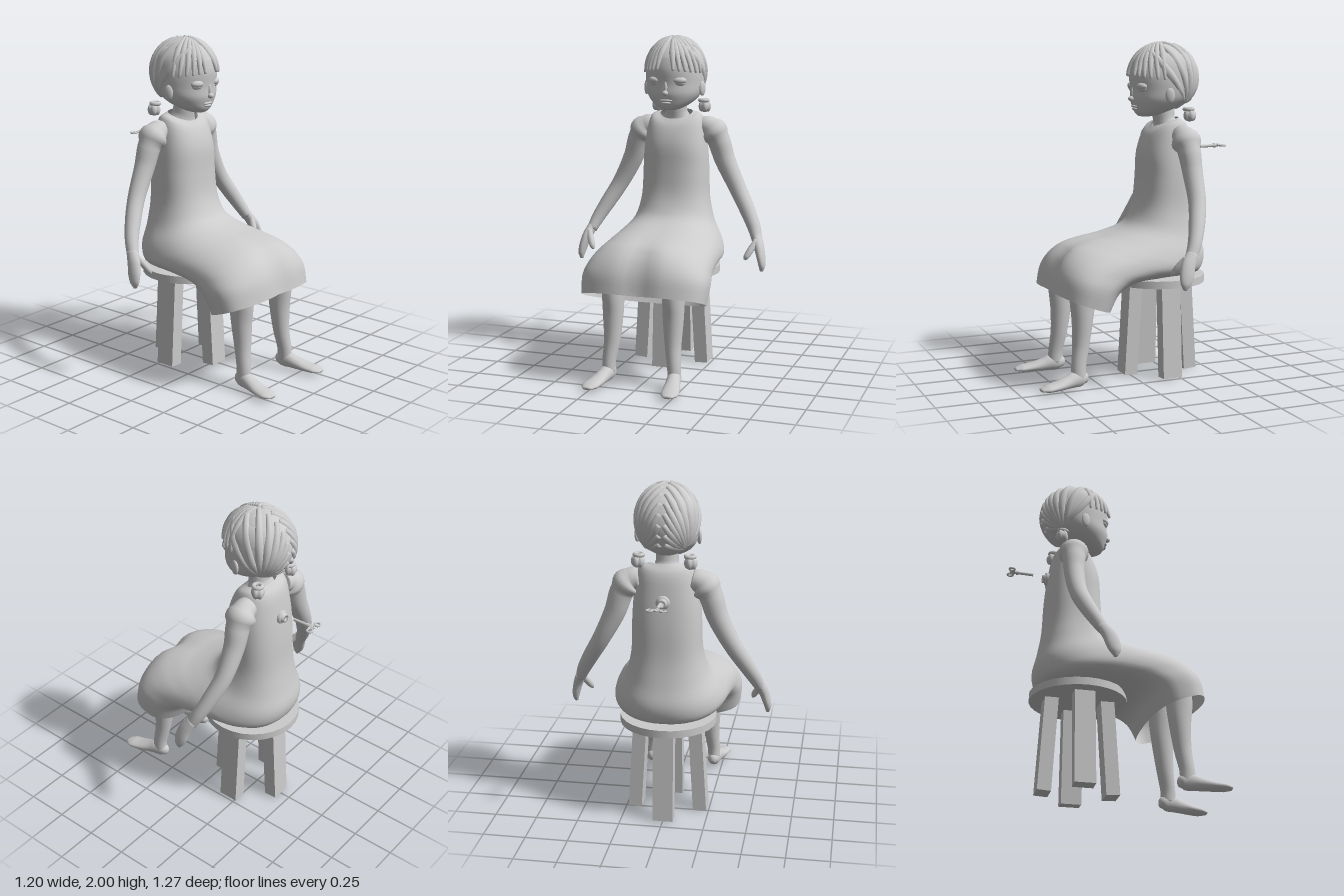
import * as THREE from 'three';

const mat = new THREE.MeshStandardMaterial({ color: 0xcccccc });
const matTwo = new THREE.MeshStandardMaterial({ color: 0xcccccc, side: THREE.DoubleSide });
const V = (x, y, z) => new THREE.Vector3(x, y, z);

function add(parent, name, geo, x = 0, y = 0, z = 0, m = mat) {
  const mesh = new THREE.Mesh(geo, m);
  mesh.name = name;
  mesh.position.set(x, y, z);
  parent.add(mesh);
  return mesh;
}

// Skin over closed rings of equal length
function loft(rings) {
  const n = rings[0].length, idx = [];
  for (let i = 0; i < rings.length - 1; i++) {
    for (let j = 0; j < n; j++) {
      const a = i * n + j, b = i * n + (j + 1) % n;
      idx.push(a, b, a + n, b, b + n, a + n);
    }
  }
  const g = new THREE.BufferGeometry().setFromPoints(rings.flat());
  g.setIndex(idx);
  g.computeVertexNormals();
  return g;
}

// Smooth limb through [x, y, z, radius along ref, radius across]
function limb(pts, ref = V(0, 0, 1), steps = 5, sides = 20) {
  const path = new THREE.CatmullRomCurve3(pts.map(p => V(p[0], p[1], p[2])));
  const size = new THREE.CatmullRomCurve3(pts.map(p => V(p[3], p[4] ?? p[3], 0)));
  const count = (pts.length - 1) * steps, rings = [];
  for (let i = 0; i <= count; i++) {
    const t = i / count, c = path.getPoint(t), r = size.getPoint(t), T = path.getTangent(t);
    const B = T.clone().cross(ref).normalize(), N = B.clone().cross(T);
    const ring = k => Array.from({ length: sides }, (_, j) => {
      const a = j / sides * Math.PI * 2;
      return c.clone().addScaledVector(N, Math.max(r.x, 0) * k * Math.cos(a))
        .addScaledVector(B, Math.max(r.y, 0) * k * Math.sin(a));
    });
    if (i === 0) rings.push(ring(0));
    rings.push(ring(1));
    if (i === count) rings.push(ring(0));
  }
  return loft(rings);
}

function ball(parent, name, x, y, z, rx, ry, rz) {
  const mesh = add(parent, name, new THREE.SphereGeometry(1, 20, 14), x, y, z);
  mesh.scale.set(rx, ry, rz);
  return mesh;
}

function makeStool() {
  const g = new THREE.Group();
  g.name = 'stool';
  g.position.z = -0.2;
  add(g, 'stoolSeat', new THREE.CylinderGeometry(0.285, 0.285, 0.045, 28), 0, 0.582, 0);
  for (let i = 0; i < 4; i++) {
    const pivot = new THREE.Group();
    pivot.name = 'stoolLegMount';
    pivot.rotation.y = i * Math.PI / 2;
    add(pivot, 'stoolLeg', new THREE.BoxGeometry(0.12, 0.565, 0.08), 0, 0.284, 0.18).rotation.x = -0.06;
    g.add(pivot);
  }
  return g;
}

// Dress rows: front z, front y, back z, back y, half width, side lift, centre dip, squareness
function makeDress() {
  const rows = [
    [-0.165, 1.50, -0.325, 1.55, 0.10, 0.01, 0, 2],
    [-0.125, 1.45, -0.365, 1.50, 0.158, 0.04, 0, 2.2],
    [-0.09, 1.35, -0.39, 1.38, 0.188, 0, 0, 2.4],
    [-0.08, 1.20, -0.41, 1.20, 0.20, 0, 0, 2.4],
    [-0.06, 1.04, -0.42, 1.00, 0.207, 0, 0, 2.4],
    [0.00, 0.925, -0.445, 0.85, 0.24, 0, 0, 2.3],
    [0.15, 0.868, -0.47, 0.72, 0.30, 0, 0.01, 2.3],
    [0.28, 0.845, -0.43, 0.625, 0.335, 0, 0.02, 2.3],
    [0.39, 0.81, -0.20, 0.60, 0.352, 0, 0.03, 2.3],
    [0.455, 0.75, 0.00, 0.59, 0.366, 0, 0.035, 2.4],
    [0.495, 0.67, 0.12, 0.545, 0.382, 0, 0.035, 2.5],
    [0.515, 0.56, 0.185, 0.44, 0.372, 0, 0.03, 2.6]];
  const curve = k => new THREE.CatmullRomCurve3(rows.map(k));
  const front = curve(r => V(r[4], r[1], r[0])), back = curve(r => V(0, r[3], r[2]));
  const shape = curve(r => V(r[5], r[6], r[7]));
  const rings = [], steps = 44, sides = 56;
  const power = (v, e) => Math.sign(v) * Math.abs(v) ** e;
  for (let i = 0; i <= steps; i++) {
    const f = front.getPoint(i / steps), b = back.getPoint(i / steps), s = shape.getPoint(i / steps);
    const w = f.x;
    f.x = 0;
    const mid = f.clone().add(b).multiplyScalar(0.5), u = f.clone().sub(mid), dir = u.clone().normalize();
    rings.push(Array.from({ length: sides }, (_, j) => {
      const a = j / sides * Math.PI * 2, c = power(Math.cos(a), 2 / s.z);
      const p = mid.clone().addScaledVector(u, c);
      p.x = -w * power(Math.sin(a), 2 / s.z);
      if (c > 0) p.addScaledVector(dir, -s.y * Math.exp(-((p.x / 0.08) ** 2)));
      p.y += s.x * Math.sin(a) ** 2;
      return p;
    }));
  }
  return loft(rings);
}

// Head rows: y, half width, front z, back z
function makeHead() {
  const rows = [
    [1.556, 0.0, -0.11, -0.11], [1.56, 0.045, -0.08, -0.17], [1.58, 0.09, -0.058, -0.24],
    [1.615, 0.135, -0.045, -0.32], [1.66, 0.165, -0.034, -0.38], [1.72, 0.177, -0.035, -0.42],
    [1.80, 0.178, -0.028, -0.435], [1.88, 0.162, -0.045, -0.42], [1.94, 0.115, -0.10, -0.37],
    [1.97, 0.0, -0.23, -0.23]];
  const a = new THREE.CatmullRomCurve3(rows.map(r => V(r[1], r[0], 0)));
  const b = new THREE.CatmullRomCurve3(rows.map(r => V(r[2], r[3], 0)));
  const rings = [];
  for (let i = 0; i <= 36; i++) {
    const p = a.getPoint(i / 36), q = b.getPoint(i / 36);
    rings.push(Array.from({ length: 36 }, (_, j) => {
      const t = j / 36 * Math.PI * 2;
      return V(p.x * Math.sin(t), p.y, (q.x + q.y) / 2 + (q.x - q.y) / 2 * Math.cos(t));
    }));
  }
  return loft(rings);
}

// Hair: tilted dome with locks lying over it from the parting
const HC = V(0, 1.785, -0.232), HR = V(0.19, 0.216, 0.224);
function lock(d0, d1, r0, r1, r2) {
  const pts = [], angle = d0.angleTo(d1);
  for (let i = 0; i <= 6; i++) {
    const t = i / 6;
    const d = d0.clone().multiplyScalar(Math.sin((1 - t) * angle)).addScaledVector(d1, Math.sin(t * angle)).normalize();
    const r = t < 0.5 ? r0 + (r1 - r0) * t * 2 : r1 + (r2 - r1) * (t * 2 - 1);
    pts.push([HC.x + d.x * (HR.x - r), HC.y + d.y * (HR.y - r), HC.z + d.z * (HR.z - r), r]);
  }
  return limb(pts, V(0.31, 0.23, 0.92), 3, 10);
}
function makeHair() {
  const g = new THREE.Group();
  g.name = 'hair';
  const dome = new THREE.SphereGeometry(1, 40, 24, 0, Math.PI * 2, 0, 1.98);
  dome.rotateX(-0.85);
  dome.scale(HR.x - 0.012, HR.y - 0.012, HR.z - 0.012);
  add(g, 'hairCap', dome, HC.x, HC.y, HC.z, matTwo);
  for (const s of [1, -1]) {
    const tie = V(0.72 * s, -0.80, -0.5).normalize();
    for (let i = 0; i < 10; i++) {
      const a = -0.6 + i * 0.3;
      add(g, 'sideLock', lock(V(0.07 * s, Math.cos(a), -Math.sin(a)).normalize(), tie, 0.014, 0.03, 0.018));
    }
    for (let i = 0; i < 6; i++) {
      const b = 0.28 + i * 0.2;
      add(g, 'fringeLock', lock(V(0.06 * s, 0.9, 0.4 - i * 0.06).normalize(),
        V(s * Math.sin(b), 0.06 - i * 0.02, Math.cos(b)).normalize(), 0.012, 0.022, 0.008));
    }
    // Small bunched pigtail and its band
    const band = add(g, 'hairBand', new THREE.TorusGeometry(0.024, 0.012, 10, 20), 0.145 * s, 1.602, -0.335);
    band.rotation.x = Math.PI / 2;
    ball(g, 'pigtail', 0.15 * s, 1.565, -0.34, 0.036, 0.036, 0.034);
    for (let i = 0; i < 5; i++) {
      const a = i * Math.PI * 0.4;
      ball(g, 'pigtailCurl', 0.15 * s + 0.02 * Math.cos(a), 1.565, -0.34 + 0.02 * Math.sin(a), 0.019, 0.032, 0.019);
    }
  }
  return g;
}

function makeKey() {
  const g = new THREE.Group();
  g.name = 'windUpKey';
  g.position.set(0, 1.35, 0);
  g.rotation.x = 0.03;
  const rod = (name, r, z0, z1) =>
    add(g, name, new THREE.CylinderGeometry(r, r, z0 - z1, 16).rotateX(Math.PI / 2), 0, 0, (z0 + z1) / 2);
  rod('keyShaft', 0.009, -0.485, -0.605);
  rod('keyCollar', 0.013, -0.575, -0.588);
  for (const [x, z, r] of [[-0.037, -0.618, 0.016], [0.037, -0.618, 0.016], [0, -0.613, 0.009]])
    add(g, 'keyLoop', new THREE.TorusGeometry(r, 0.006, 8, 20).rotateX(Math.PI / 2), x, 0, z);
  for (const s of [1, -1])
    add(g, 'keyWeb', new THREE.BoxGeometry(0.03, 0.008, 0.012), 0.014 * s, 0, -0.602).rotation.y = 0.5 * s;
  return g;
}

export function createModel() {
  const model = new THREE.Group();
  model.name = 'seatedDoll';
  model.add(makeStool());
  add(model, 'dress', makeDress(), 0, 0, 0, matTwo);
  add(model, 'neck', limb([[0, 1.42, -0.26, 0.08, 0.09], [0, 1.5, -0.25, 0.072, 0.085],
    [0, 1.55, -0.238, 0.064, 0.066], [0, 1.64, -0.23, 0.066]]));

  // Head and face
  const head = new THREE.Group();
  head.name = 'head';
  model.add(head);
  add(head, 'face', makeHead());
  ball(head, 'nose', 0, 1.663, -0.03, 0.018, 0.016, 0.02);
  ball(head, 'noseBridge', 0, 1.695, -0.04, 0.012, 0.04, 0.014);
  ball(head, 'upperLip', 0, 1.618, -0.048, 0.04, 0.008, 0.014);
  ball(head, 'lowerLip', 0, 1.603, -0.052, 0.03, 0.009, 0.014);
  for (const s of [1, -1]) {
    ball(head, 'eyeball', 0.08 * s, 1.724, -0.066, 0.034, 0.02, 0.02).rotation.y = 0.4 * s;
    ball(head, 'eyelid', 0.08 * s, 1.737, -0.064, 0.04, 0.022, 0.025).rotation.y = 0.4 * s;
    ball(head, 'ear', 0.177 * s, 1.685, -0.2, 0.014, 0.045, 0.028).rotation.y = -0.3 * s;
  }
  head.add(makeHair());

  for (const s of [1, -1]) {
    const side = pts => pts.map(([x, ...rest]) => [x * s, ...rest]);
    add(model, 'arm', limb(side([[0.15, 1.45, -0.28, 0.06], [0.2, 1.44, -0.28, 0.07], [0.25, 1.38, -0.285, 0.07],
      [0.295, 1.25, -0.29, 0.06, 0.063], [0.38, 1.08, -0.28, 0.052], [0.45, 0.96, -0.245, 0.047],
      [0.505, 0.86, -0.205, 0.04], [0.535, 0.79, -0.17, 0.035, 0.031]])));
    add(model, 'hand', limb(side([[0.53, 0.81, -0.18, 0.034, 0.03], [0.555, 0.75, -0.143, 0.042, 0.029],
      [0.573, 0.69, -0.125, 0.042, 0.025], [0.581, 0.645, -0.115, 0.032, 0.02], [0.58, 0.612, -0.112, 0.01]])));
    add(model, 'thumb', limb(side([[0.54, 0.79, -0.14, 0.018], [0.512, 0.735, -0.1, 0.02],
      [0.494, 0.70, -0.08, 0.017], [0.487, 0.683, -0.073, 0.007]]), undefined, 5, 12));
    add(model, 'thigh', limb(side([[0.12, 0.71, -0.2, 0.085], [0.15, 0.71, 0.1, 0.088],
      [0.18, 0.7, 0.3, 0.08], [0.185, 0.69, 0.4, 0.04]]), V(0, 1, 0)));
    add(model, 'lowerLeg', limb(side([[0.185, 0.7, 0.345, 0.075], [0.185, 0.54, 0.355, 0.078, 0.066],
      [0.185, 0.4, 0.358, 0.063, 0.06], [0.188, 0.25, 0.37, 0.05, 0.048], [0.2, 0.13, 0.388, 0.044, 0.04],
      [0.203, 0.06, 0.39, 0.045, 0.038]])));
    add(model, 'foot', limb(side([[0.2, 0.04, 0.337, 0.015], [0.2, 0.053, 0.358, 0.042, 0.034],
      [0.205, 0.06, 0.4, 0.05, 0.04], [0.216, 0.048, 0.46, 0.038, 0.043], [0.23, 0.036, 0.53, 0.026, 0.05],
      [0.24, 0.03, 0.59, 0.02, 0.05], [0.242, 0.026, 0.633, 0.008, 0.026]]), V(0, 1, 0)));
  }

  // Key socket in the back
  const socket = new THREE.LatheGeometry([[0.04, 0], [0.04, 0.014], [0.034, 0.02], [0.026, 0.02], [0.024, 0.036],
    [0.014, 0.036], [0.012, 0.005], [0, 0.005]].map(p => new THREE.Vector2(...p)), 24).rotateX(-Math.PI / 2);
  add(model, 'keySocket', socket, 0, 1.345, -0.392, matTwo);
  model.add(makeKey());
  return model;
}
